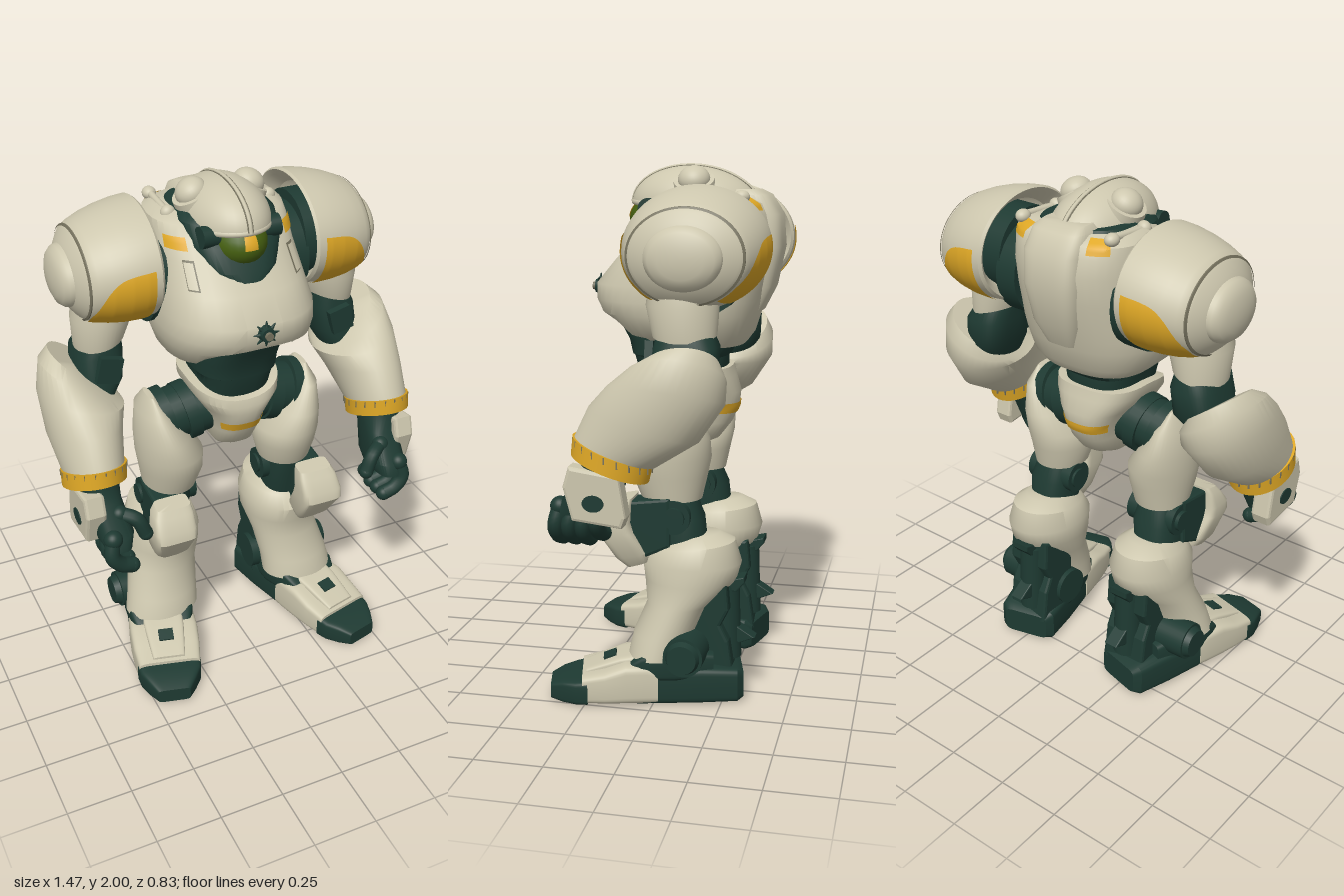
import * as THREE from 'three';
import { toCreasedNormals } from 'three/addons/utils/BufferGeometryUtils.js';
import { ParametricGeometry } from 'three/addons/geometries/ParametricGeometry.js';

const paint = (name, color, side = THREE.FrontSide) => Object.assign(new THREE.MeshStandardMaterial({ color, side }), { name });
const ivory = paint('ivory armour', 0xcdc7ae);
const shell = paint('ivory shell', 0xcdc7ae, THREE.DoubleSide);
const dark = paint('dark green frame', 0x1e3a32);
const yellow = paint('yellow marking', 0xdfa826, THREE.DoubleSide);
const green = paint('green lens', 0x455f10);
const seam = paint('grey seam', 0x77735f);
const { PI } = Math;
const V = (x, y, z) => new THREE.Vector3(x, y, z);

function add(parent, name, geo, mat) {
  const m = new THREE.Mesh(geo, mat);
  m.name = name;
  parent.add(m);
  return m;
}

function crease(geo, angle = 0.7) {
  return toCreasedNormals(geo.scale(100, 100, 100), angle).scale(0.01, 0.01, 0.01);
}

// Skin over rings [x, y, z, rx, rz, slopeX, slopeZ, squareness, frontArch]; open when t0..t1 is a part turn
function loft(rings, t0 = 0, t1 = 2 * PI, N = 40) {
  if (rings[0][1] > rings[rings.length - 1][1]) rings = [...rings].reverse();
  const pos = [], idx = [], W = N + 1, full = t1 - t0 > 6.2;
  const pw = (v, n) => Math.sign(v) * Math.abs(v) ** (2 / n);
  for (const [x, y, z, rx, rz, kx = 0, kz = 0, n = 2, arch = 0] of rings)
    for (let j = 0; j < W; j++) {
      const t = t0 + ((full ? j % N : j) / N) * (t1 - t0);
      const px = rx * pw(Math.cos(t), n), pz = rz * pw(Math.sin(t), n);
      const lift = arch * Math.max(0, 1 - (px / 0.2) ** 2) * Math.min(1, Math.max(0, pz * 10));
      pos.push(x + px, y + px * kx + pz * kz + lift, z + pz);
    }
  for (let i = 0; i < rings.length - 1; i++)
    for (let j = 0; j < N; j++) {
      const a = i * W + j, u = a + W;
      idx.push(a, u, a + 1, a + 1, u, u + 1);
    }
  if (full) {
    const c = pos.length / 3, top = (rings.length - 1) * W;
    for (const r of [rings[0], rings[rings.length - 1]]) pos.push(r[0], r[1], r[2]);
    for (let j = 0; j < N; j++) idx.push(c, j, j + 1, c + 1, top + j + 1, top + j);
  }
  const g = new THREE.BufferGeometry();
  g.setAttribute('position', new THREE.Float32BufferAttribute(pos, 3));
  g.setIndex(idx);
  return crease(g);
}

// Centred body rings from [y, front, back, halfWidth, frontArch]
const body = (rows, n) => rows.map(([y, f, b, rx, arch = 0]) => [0, y, (f + b) / 2, rx, (f - b) / 2, 0, 0, n, arch]);

// Thin marking that follows a lofted body between two heights and two angles
function decal(parent, name, rings, y0, y1, t0, t1, mat, off = 0.004) {
  const at = (y) => {
    let i = 0;
    while (i < rings.length - 2 && rings[i + 1][1] < y) i++;
    const f = (y - rings[i][1]) / (rings[i + 1][1] - rings[i][1]);
    const r = rings[i].map((v, k) => v + (rings[i + 1][k] - v) * f);
    r[3] += off; r[4] += off;
    return r;
  };
  add(parent, name, loft([0, 0.25, 0.5, 0.75, 1].map((f) => at(y0 + (y1 - y0) * f)), t0, t1, 16), mat);
}

// Cylinder between two points
function rod(parent, name, p, q, r, mat, r2 = r, sides = 28) {
  const d = q.clone().sub(p);
  const m = add(parent, name, new THREE.CylinderGeometry(r2, r, d.length(), sides), mat);
  m.position.copy(p).addScaledVector(d, 0.5);
  m.quaternion.setFromUnitVectors(V(0, 1, 0), d.normalize());
  return m;
}

function ball(parent, name, p, s, mat) {
  const m = add(parent, name, new THREE.SphereGeometry(1, 28, 18), mat);
  m.position.copy(p);
  m.scale.copy(s);
  return m;
}

// Side profile of [z, y] points given a width along x
function sidePlate(parent, name, pts, x, width, mat, bevel = 0.012) {
  const s = new THREE.Shape(pts.map(([z, y]) => new THREE.Vector2(z, y)));
  const depth = width - 2 * bevel;
  const g = new THREE.ExtrudeGeometry(s, { depth, bevelEnabled: true, bevelSize: bevel, bevelThickness: bevel, bevelOffset: -bevel, bevelSegments: 2 });
  return add(parent, name, g.translate(0, 0, -depth / 2).rotateY(-PI / 2).translate(x, 0, 0), mat);
}

function buildTorso(g) {
  const chest = body([[1.33, 0.1, -0.27, 0.215, 0.125], [1.37, 0.19, -0.3, 0.258, 0.087], [1.45, 0.28, -0.325, 0.288, 0.012], [1.5, 0.3, -0.34, 0.293],
    [1.56, 0.3, -0.355, 0.29], [1.65, 0.225, -0.375, 0.278], [1.75, 0.135, -0.385, 0.268], [1.82, 0.08, -0.37, 0.264],
    [1.86, 0.03, -0.35, 0.258], [1.885, -0.04, -0.3, 0.225]], 2.6);
  add(g, 'chest', loft(chest), ivory);
  add(g, 'backHump', loft(body([[1.46, -0.2, -0.34, 0.07], [1.55, -0.2, -0.385, 0.1], [1.7, -0.2, -0.415, 0.12],
    [1.82, -0.2, -0.405, 0.12], [1.89, -0.2, -0.36, 0.11], [1.91, -0.22, -0.32, 0.09]], 4)), ivory);
  add(g, 'abdomen', loft(body([[1.16, 0.12, -0.18, 0.14], [1.24, 0.15, -0.2, 0.145], [1.28, 0.16, -0.2, 0.155], [1.285, 0.168, -0.21, 0.162],
    [1.34, 0.18, -0.24, 0.168], [1.41, 0.22, -0.25, 0.168], [1.46, 0.245, -0.25, 0.15]], 2.8)), dark);
  add(g, 'collar', loft(body([[1.67, 0.2, -0.3, 0.08], [1.72, 0.18, -0.3, 0.155], [1.8, 0.13, -0.3, 0.19],
    [1.87, 0.075, -0.3, 0.19], [1.893, 0.03, -0.28, 0.17]], 3.2)), dark);
  // Markings and vents on the chest, both sides
  for (const m of [(t) => t, (t) => PI - t]) {
    const mark = (name, y0, y1, a, b, mat, off) => decal(g, name, chest, y0, y1, Math.min(m(a), m(b)), Math.max(m(a), m(b)), mat, off);
    mark('chestMark', 1.787, 1.828, 0.42, 0.87, yellow);
    mark('backMark', 1.835, 1.882, -1.12, -0.72, yellow);
    mark('ventFrame', 1.67, 1.76, 0.73, 0.93, seam, 0.003);
    mark('ventPlate', 1.676, 1.754, 0.75, 0.91, ivory, 0.006);
  }
  // Chest nozzle with a toothed ring
  rod(g, 'chestNozzle', V(0, 1.535, 0.29), V(0, 1.535, 0.325), 0.032, dark, 0.026);
  rod(g, 'nozzleCore', V(0, 1.535, 0.32), V(0, 1.535, 0.337), 0.015, seam);
  for (let i = 0; i < 8; i++) {
    const a = (i * PI) / 4, c = Math.cos(a), s = Math.sin(a);
    rod(g, 'nozzleTooth', V(c * 0.025, 1.535 + s * 0.025, 0.308), V(c * 0.05, 1.535 + s * 0.05, 0.305), 0.008, dark, 0.002, 8);
  }
  // Pelvis with a notched front and two stripes
  const pelvis = body([[0.925, 0.04, -0.1, 0.065], [0.955, 0.09, -0.17, 0.085], [1.02, 0.13, -0.22, 0.097], [1.08, 0.155, -0.245, 0.11],
    [1.14, 0.165, -0.25, 0.14, -0.02], [1.2, 0.165, -0.23, 0.178, -0.05], [1.24, 0.155, -0.22, 0.182, -0.06]], 2.8);
  add(g, 'pelvis', loft(pelvis), ivory);
  decal(g, 'pelvisFrontStripe', pelvis, 1.04, 1.075, 0.75, PI - 0.75, yellow);
  decal(g, 'pelvisBackStripe', pelvis, 1.06, 1.1, PI + 0.6, 2 * PI - 0.6, yellow);
}

function buildHead(g) {
  const eye = ball(g, 'lens', V(0, 1.8, 0.045), V(0.11, 0.095, 0.14), green);
  const mark = add(g, 'lensMark', new THREE.SphereGeometry(1.02, 8, 8, PI / 2 - 0.23, 0.46, 0.85, 0.68), yellow);
  mark.position.copy(eye.position);
  mark.scale.copy(eye.scale);
  const helmet = new THREE.Group();
  helmet.name = 'helmet';
  helmet.position.set(0, 1.838, -0.075);
  helmet.rotation.x = -0.1;
  g.add(helmet);
  add(helmet, 'dome', new THREE.SphereGeometry(1, 40, 18, 0, 2 * PI, 0, PI / 2).scale(0.164, 0.157, 0.25), shell);
  add(helmet, 'brow', new THREE.TorusGeometry(1, 0.035, 8, 48).rotateX(PI / 2).scale(0.16, 0.3, 0.245), ivory);
  for (const [x, r, mat] of [[0, 0.008, ivory], [0.009, 0.0025, seam], [-0.009, 0.0025, seam]]) {
    const pts = [];
    for (let i = 0; i <= 14; i++) pts.push(V(x, 0.157 * Math.sin((i * PI) / 14), 0.25 * Math.cos((i * PI) / 14)));
    add(helmet, 'crest', new THREE.TubeGeometry(new THREE.CatmullRomCurve3(pts), 40, r, 8), mat);
  }
  for (const s of [1, -1]) {
    const pod = new THREE.Group();
    pod.name = 'headPod';
    pod.position.set(s * 0.11, 1.938, -0.087);
    pod.rotation.z = -s * 0.5;
    g.add(pod);
    rod(pod, 'podBase', V(0, -0.04, 0), V(0, 0.008, 0), 0.085, ivory, 0.076);
    ball(pod, 'podCap', V(0, 0.008, 0), V(0.06, 0.05, 0.06), ivory);
    rod(g, 'cheekDisc', V(s * 0.09, 1.835, 0.075), V(s * 0.155, 1.838, 0.08), 0.04, dark);
  }
}

function buildArm(g) {
  // Shoulder
  rod(g, 'shoulderJoint', V(0.22, 1.64, -0.14), V(0.31, 1.64, -0.14), 0.18, dark);
  rod(g, 'shoulderHub', V(0.3, 1.69, -0.14), V(0.42, 1.69, -0.14), 0.17, dark);
  // Pad surface at distance x out and angle a; it sinks slightly toward the outside
  const padPoint = (r, x, a, target) =>
    target.set(x, 1.715 - 0.81 * r * Math.sin(a) - 0.1 * (x - 0.33), -0.145 + r * Math.cos(a));
  const turn = (rows) => {
    const geo = new THREE.LatheGeometry(rows.map(([r, x]) => new THREE.Vector2(r, x)), 64);
    const p = geo.attributes.position, v = V(0, 0, 0);
    for (let i = 0; i < p.count; i++) {
      padPoint(Math.hypot(p.getX(i), p.getZ(i)), p.getY(i), Math.atan2(p.getX(i), p.getZ(i)), v);
      p.setXYZ(i, v.x, v.y, v.z);
    }
    return crease(geo, 0.6);
  };
  add(g, 'shoulderPad', turn([[0.2, 0.36], [0.235, 0.315], [0.255, 0.3], [0.265, 0.31], [0.265, 0.36], [0.257, 0.42], [0.242, 0.48], [0.222, 0.53], [0.208, 0.552],
    [0.19, 0.565], [0.155, 0.585], [0.138, 0.592], [0.134, 0.608], [0.115, 0.626], [0.08, 0.638], [0.04, 0.644], [0, 0.646]]), shell);
  add(g, 'padSeam', turn([[0.21, 0.553], [0.21, 0.557], [0.201, 0.561]]), seam);
  // Yellow patches with a slanted upper corner, front and back
  const edge = [[0.265, 0.335], [0.265, 0.36], [0.257, 0.42], [0.242, 0.48], [0.222, 0.53], [0.21, 0.55]];
  for (const [name, front] of [['padFrontPatch', true], ['padBackPatch', false]]) {
    const patch = new ParametricGeometry((u, v, target) => {
      const x = 0.335 + 0.215 * u;
      const i = Math.max(0, edge.findIndex((e) => e[1] >= x - 1e-6) - 1);
      const [[r0, x0], [r1, x1]] = [edge[i], edge[i + 1]];
      const r = r0 + ((r1 - r0) * (x - x0)) / (x1 - x0) + 0.005;
      const start = -0.22 + 0.9 * u ** 5, a = start + (1.02 - start) * v;
      padPoint(r, x, front ? a : PI - a, target);
    }, 20, 20);
    add(g, name, patch, yellow);
  }
  // Piston beside the helmet
  rod(g, 'piston', V(0.2, 1.89, -0.3), V(0.2, 1.875, -0.1), 0.013, ivory);
  ball(g, 'pistonEnd', V(0.2, 1.875, -0.1), V(0.028, 0.028, 0.025), ivory);
  ball(g, 'pistonRoot', V(0.2, 1.885, -0.28), V(0.026, 0.024, 0.03), ivory);
  // Upper arm and elbow
  add(g, 'sleeve', loft([[0.45, 1.62, -0.12, 0.1, 0.12], [0.47, 1.52, -0.12, 0.112, 0.13], [0.48, 1.42, -0.13, 0.095, 0.115, -0.25]]), ivory);
  add(g, 'elbow', loft([[0.475, 1.45, -0.13, 0.075, 0.095], [0.49, 1.38, -0.14, 0.09, 0.115, 0, 0, 3], [0.5, 1.28, -0.13, 0.09, 0.12, 0, 0, 3], [0.53, 1.2, -0.1, 0.08, 0.1]]), dark);
  const plate = add(g, 'elbowPlate', new THREE.BoxGeometry(0.09, 0.1, 0.03), dark);
  plate.position.set(0.485, 1.34, -0.01);
  plate.rotation.z = 0.25;
  // Forearm and cuff
  add(g, 'forearm', loft([[0.565, 1.32, -0.14, 0.105, 0.13, 0.75, -0.1], [0.572, 1.28, -0.12, 0.14, 0.175, 0.6, 0], [0.58, 1.22, -0.085, 0.157, 0.207, 0.25, 0.12],
    [0.597, 1.12, -0.01, 0.137, 0.195, 0, 0.3], [0.605, 1.02, 0.09, 0.115, 0.145, 0, 0.36]]), ivory);
  add(g, 'cuff', loft([[0.605, 1.025, 0.1, 0.122, 0.142, 0, 0.36], [0.608, 0.962, 0.11, 0.12, 0.138, 0, 0.36]]), yellow);
  for (let i = 0; i < 20; i++) {
    const a = (i * PI) / 10, c = Math.cos(a), s = Math.sin(a);
    const tick = add(g, 'cuffTick', new THREE.BoxGeometry(0.005, 0.025, 0.005), seam);
    tick.position.set(0.605 + 0.121 * c, 1.01 + 0.05 * s, 0.1 + 0.141 * s);
  }
  // Hand
  add(g, 'palm', loft([[0.61, 0.98, 0.11, 0.09, 0.1], [0.595, 0.91, 0.14, 0.065, 0.085, 0, 0, 3], [0.585, 0.81, 0.205, 0.07, 0.11, 0, 0, 3], [0.585, 0.76, 0.22, 0.055, 0.105, 0, 0, 3]]), dark);
  sidePlate(g, 'handGuard', [[0.06, 0.95], [0.24, 0.975], [0.262, 0.9], [0.23, 0.78], [0.05, 0.76], [0.035, 0.8]], 0.655, 0.08, ivory);
  const port = rod(g, 'guardPort', V(0.69, 0.848, 0.15), V(0.699, 0.848, 0.15), 0.03, dark);
  port.scale.z = 1.3;
  const finger = (name, pts, r) => {
    add(g, name, new THREE.TubeGeometry(new THREE.CatmullRomCurve3(pts), 14, r, 12), dark);
    ball(g, name + 'Tip', pts[pts.length - 1], V(r, r, r), dark);
    ball(g, name + 'Knuckle', pts[0], V(r * 1.2, r * 1.2, r * 1.2), dark);
  };
  for (let i = 0; i < 4; i++) {
    const z = 0.145 + i * 0.05, y = i === 0 ? 0.02 : 0;
    finger('finger', [V(0.61, 0.81, z), V(0.622, 0.745 + y, z + 0.015), V(0.59, 0.7 + y, z + 0.015), V(0.545, 0.68 + y, z + 0.01)], 0.03);
  }
  finger('thumb', [V(0.56, 0.87, 0.23), V(0.505, 0.85, 0.265), V(0.475, 0.785, 0.275)], 0.028);
}

function buildLeg(g) {
  // Hip discs and thigh
  for (const [x0, x1, r] of [[0.08, 0.15, 0.1], [0.15, 0.2, 0.118], [0.2, 0.25, 0.105], [0.25, 0.3, 0.115]])
    rod(g, 'hipDisc', V(x0, 1.08, -0.04), V(x1, 1.07, -0.04), r, dark);
  add(g, 'thigh', loft([[0.325, 1.185, -0.04, 0.012, 0.05], [0.315, 1.12, -0.035, 0.058, 0.12], [0.285, 1.01, -0.03, 0.1, 0.155], [0.255, 0.93, -0.025, 0.13, 0.16],
    [0.25, 0.86, -0.025, 0.125, 0.145], [0.255, 0.77, -0.035, 0.105, 0.115]]), ivory);
  // Knee
  rod(g, 'kneeJoint', V(0.15, 0.715, -0.06), V(0.365, 0.715, -0.06), 0.065, dark);
  for (const [x0, x1] of [[0.14, 0.17], [0.35, 0.38]]) rod(g, 'kneeDisc', V(x0, 0.715, -0.065), V(x1, 0.715, -0.065), 0.04, dark);
  add(g, 'kneeCore', loft([[0.26, 0.8, -0.03, 0.085, 0.09], [0.265, 0.7, -0.055, 0.09, 0.105, 0, 0, 3], [0.27, 0.55, -0.08, 0.09, 0.1]]), dark);
  sidePlate(g, 'kneeBracket', [[-0.05, 0.79], [0.11, 0.77], [0.15, 0.7], [0.08, 0.54], [-0.05, 0.6]], 0.315, 0.11, dark);
  add(g, 'kneePad', loft([[0.31, 0.52, 0.08, 0.05, 0.04, 0, -0.3, 4], [0.315, 0.56, 0.1, 0.073, 0.062, 0, -0.2, 4], [0.32, 0.65, 0.158, 0.086, 0.07, 0, 0, 5],
    [0.32, 0.69, 0.16, 0.086, 0.06, 0, 0, 5], [0.315, 0.75, 0.14, 0.08, 0.045, 0, -0.2, 5], [0.31, 0.775, 0.13, 0.07, 0.035, 0, -0.2, 5]]), ivory);
  // Shin and its rear machinery
  add(g, 'shin', loft([[0.265, 0.635, -0.12, 0.08, 0.1, 0, -0.1], [0.265, 0.6, -0.12, 0.128, 0.16, 0, -0.1], [0.265, 0.53, -0.115, 0.15, 0.19], [0.267, 0.46, -0.11, 0.15, 0.175],
    [0.285, 0.37, -0.07, 0.142, 0.122], [0.307, 0.26, -0.02, 0.147, 0.118], [0.318, 0.18, 0, 0.153, 0.115]]), ivory);
  sidePlate(g, 'rearBlock', [[-0.1, 0.48], [-0.26, 0.48], [-0.27, 0.36], [-0.24, 0.3], [-0.27, 0.24], [-0.29, 0.1], [-0.1, 0.1]], 0.255, 0.19, dark);
  rod(g, 'rearCylinder', V(0.25, 0.15, -0.25), V(0.25, 0.44, -0.24), 0.055, dark);
  sidePlate(g, 'upperFin', [[-0.24, 0.42], [-0.24, 0.46], [-0.32, 0.48], [-0.32, 0.455], [-0.29, 0.42]], 0.255, 0.08, dark, 0.005);
  sidePlate(g, 'lowerSpike', [[-0.25, 0.22], [-0.25, 0.3], [-0.29, 0.28], [-0.36, 0.235], [-0.3, 0.21]], 0.25, 0.06, dark, 0.005);
  rod(g, 'ankleDisc', V(0.14, 0.21, -0.13), V(0.47, 0.21, -0.12), 0.075, dark);
  rod(g, 'ankleCap', V(0.47, 0.21, -0.12), V(0.495, 0.21, -0.12), 0.065, dark, 0.055);
  // Foot, turned outward; rows are [along, halfWidth, bottom, top]
  const foot = new THREE.Group();
  foot.name = 'foot';
  foot.position.set(0.315, 0, -0.05);
  foot.rotation.y = 0.25;
  g.add(foot);
  const slab = (name, rows, mat) => add(foot, name,
    loft(rows.map(([z, w, b, t]) => [0, z, -(b + t) / 2, w, (t - b) / 2, 0, 0, 7])).rotateX(PI / 2), mat);
  slab('heel', [[-0.265, 0.095, 0.015, 0.12], [-0.24, 0.12, 0.005, 0.14], [-0.1, 0.13, 0.005, 0.15], [0.14, 0.13, 0.005, 0.14]], dark);
  slab('ankle', [[-0.15, 0.11, 0.1, 0.2], [0, 0.143, 0.1, 0.23], [0.12, 0.13, 0.1, 0.2], [0.17, 0.11, 0.1, 0.16]], dark);
  slab('instep', [[0.06, 0.135, 0.012, 0.15], [0.1, 0.138, 0.01, 0.165], [0.18, 0.14, 0.01, 0.165], [0.26, 0.136, 0.01, 0.135], [0.345, 0.125, 0.01, 0.115]], ivory);
  slab('instepRidge', [[0.12, 0.085, 0.1, 0.19], [0.2, 0.08, 0.1, 0.175], [0.33, 0.065, 0.08, 0.128]], ivory);
  slab('toe', [[0.325, 0.13, 0.004, 0.105], [0.37, 0.122, 0.004, 0.098], [0.42, 0.095, 0.005, 0.09], [0.465, 0.065, 0.012, 0.072]], dark);
  const hatch = add(foot, 'instepHatch', new THREE.BoxGeometry(0.06, 0.008, 0.05), dark);
  hatch.position.set(0, 0.164, 0.24);
  hatch.rotation.x = 0.35;
}

export function createModel() {
  const model = new THREE.Group();
  model.name = 'armouredRobot';
  buildTorso(model);
  buildHead(model);
  for (const [side, s] of [['left', 1], ['right', -1]]) {
    for (const [part, build] of [['Arm', buildArm], ['Leg', buildLeg]]) {
      const limb = new THREE.Group();
      limb.name = side + part;
      limb.scale.x = s;
      build(limb);
      model.add(limb);
    }
  }
  return model;
}
